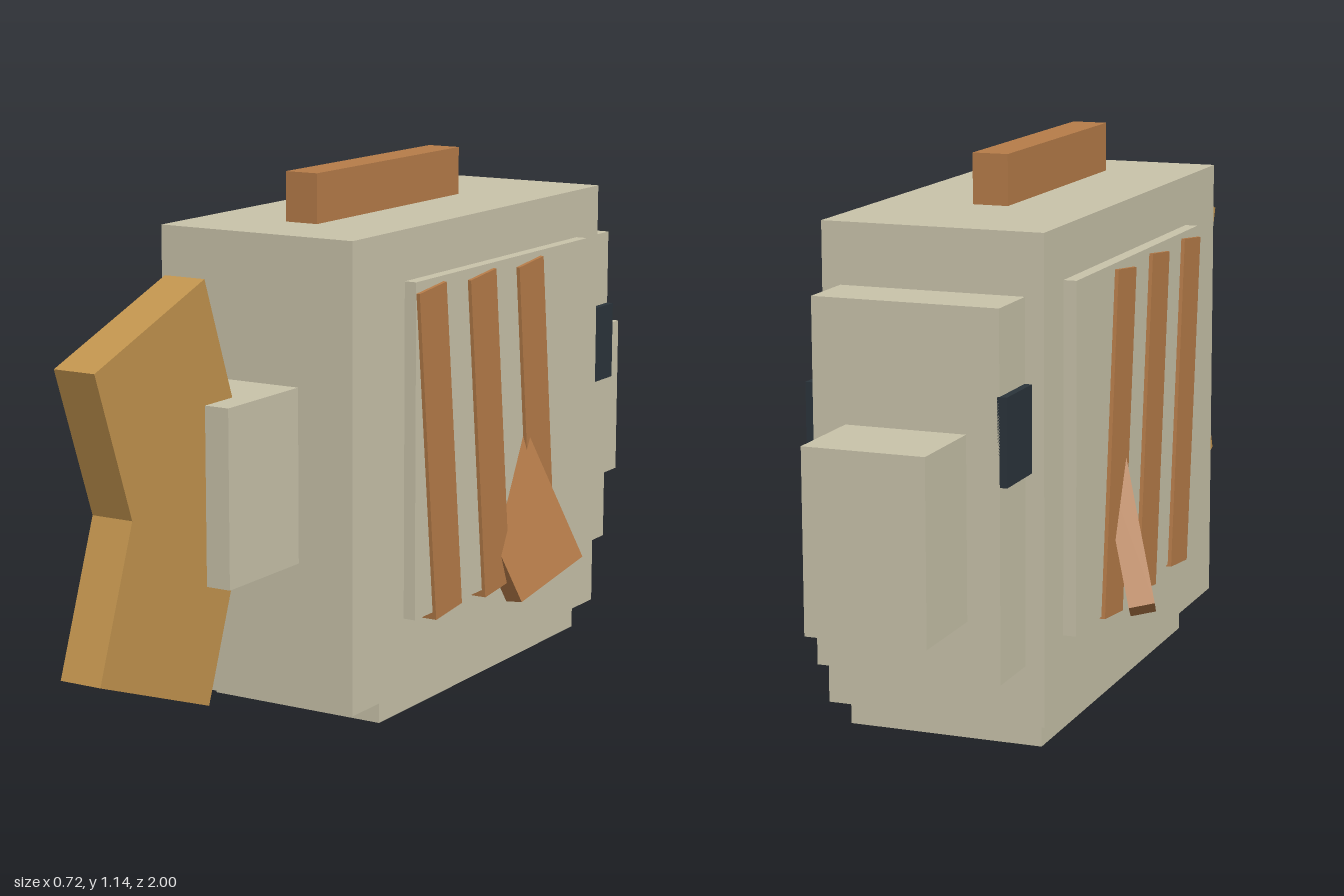
import * as THREE from 'three';

const material = (name, color) => {
  const m = new THREE.MeshStandardMaterial({ color });
  m.name = name;
  return m;
};

export function createModel() {
  const beige = material('beige', 0xc9c3aa);
  const copper = material('copper', 0xb67c49);
  const gold = material('gold', 0xc2944e);
  const dark = material('dark slate', 0x2b343b);
  const fish = new THREE.Group();
  fish.name = 'blockFish';

  const add = (name, geometry, mat) => {
    const mesh = new THREE.Mesh(geometry, mat);
    mesh.name = name;
    fish.add(mesh);
    return mesh;
  };
  // Box from its lower and upper limits on each axis
  const block = (name, mat, [x0, x1], [y0, y1], [z0, z1]) =>
    add(name, new THREE.BoxGeometry(x1 - x0, y1 - y0, z1 - z0), mat)
      .position.set((x0 + x1) / 2, (y0 + y1) / 2, (z0 + z1) / 2);

  // Body, head and tail root
  block('body', beige, [-0.232, 0.232], [0.058, 1.038], [-0.67, 0.395]);
  block('belly', beige, [-0.207, 0.207], [0, 0.1], [-0.62, 0.25]);
  block('sidePanels', beige, [-0.259, 0.259], [0.217, 0.931], [-0.565, 0.193]);
  block('head', beige, [-0.193, 0.193], [0.18, 0.913], [-0.803, -0.65]);
  block('snout', beige, [-0.125, 0.125], [0.3, 0.667], [-1, -0.78]);
  block('tailRoot', beige, [-0.102, 0.102], [0.363, 0.73], [0.37, 0.645]);
  block('dorsalFin', copper, [-0.038, 0.038], [1.02, 1.143], [-0.365, 0.222]);

  // Forked tail, drawn in the z-y plane
  const fork = new THREE.Shape([
    [0.53, 0.42], [0.642, 0.116], [1, 0.246], [0.89, 0.548],
    [1, 0.85], [0.642, 0.98], [0.53, 0.676],
  ].map(([z, y]) => new THREE.Vector2(z, y)));
  const tail = new THREE.ExtrudeGeometry(fork, { depth: 0.094, bevelEnabled: false });
  tail.translate(0, 0, -0.047).rotateY(-Math.PI / 2);
  add('tailFin', tail, gold);

  for (const [side, s] of [['left', 1], ['right', -1]]) {
    // Eye
    const eye = add(side + 'Eye', new THREE.BoxGeometry(0.02, 0.175, 0.13), dark);
    eye.position.set(s * 0.198, 0.657, -0.738);

    // Slanted stripes
    [0.1, -0.112, -0.325].forEach((z, i) => {
      const stripe = add(side + 'Stripe' + (i + 1), new THREE.BoxGeometry(0.04, 0.71, 0.11), copper);
      stripe.position.set(s * 0.247, 0.56, z);
      stripe.rotation.x = 0.105;
    });

    // Pectoral fin: a slab swung outward, its upper end sunk into the body
    const up = new THREE.Vector3(-0.33 * s, 1, 0.3).normalize();
    const inward = new THREE.Vector3(-0.05 * s, -0.01, -0.02);
    inward.addScaledVector(up, -inward.dot(up)).normalize();
    const back = new THREE.Vector3().crossVectors(up, inward);
    const reach = back.z < 0 ? 1 : -1;
    const length = 0.34, thick = 0.054, width = 0.2;
    const fin = add(side + 'PectoralFin', new THREE.BoxGeometry(length, thick, width), copper);
    fin.quaternion.setFromRotationMatrix(new THREE.Matrix4().makeBasis(up, inward, back));
    fin.position.set(0.302 * s, 0.172, -0.196)
      .addScaledVector(up, length / 2)
      .addScaledVector(inward, thick / 2)
      .addScaledVector(back, reach * width / 2);
  }
  return fish;
}
